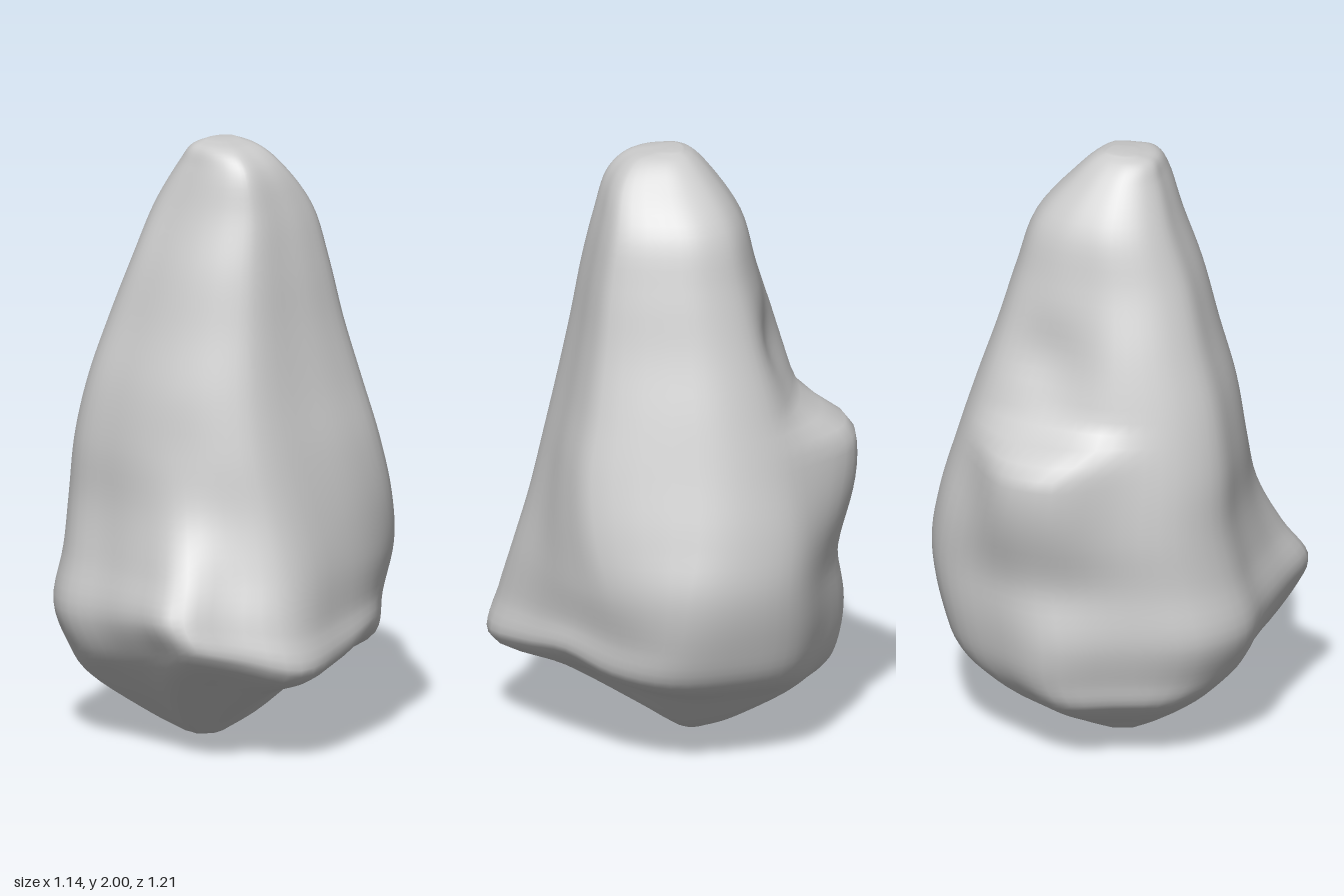
import * as THREE from 'three';

// Height and horizontal extents of the rock: [y, xMin, xMax, zMin, zMax]
const ROWS = [
  [0.00, -0.14, 0.00, -0.13, 0.00],
  [0.06, -0.24, 0.13, -0.25, 0.10],
  [0.20, -0.43, 0.32, -0.50, 0.37],
  [0.30, -0.52, 0.49, -0.55, 0.595],
  [0.44, -0.57, 0.545, -0.57, 0.565],
  [0.62, -0.53, 0.57, -0.545, 0.515],
  [0.80, -0.50, 0.53, -0.52, 0.46],
  [1.00, -0.49, 0.47, -0.465, 0.41],
  [1.20, -0.455, 0.41, -0.41, 0.365],
  [1.40, -0.39, 0.345, -0.355, 0.325],
  [1.60, -0.325, 0.29, -0.285, 0.29],
  [1.78, -0.25, 0.23, -0.235, 0.25],
  [1.92, -0.19, 0.115, -0.14, 0.205],
  [1.98, -0.16, 0.05, -0.08, 0.14],
  [2.00, -0.10, 0.00, -0.04, 0.04],
];

// Unit outlines, running from the front towards +x, the back and -x.
// The third number of the lower one raises the rim above the foot.
const LOWER = [
  [-0.22, 1, 0], [0.22, 0.82, 0.03], [0.62, 0.59, 0.07], [0.84, 0.33, 0.02],
  [1, 0, 0], [0.92, -0.4, 0], [0.74, -0.7, 0], [0.4, -0.87, 0],
  [0, -1, 0], [-0.4, -0.83, 0], [-0.83, -0.62, 0], [-1, -0.3, 0],
  [-0.96, 0.05, 0.02], [-0.95, 0.4, 0.06], [-0.92, 0.76, 0.09], [-0.6, 0.86, 0.05],
];
const UPPER = [
  [-0.3, 1], [0.15, 0.95], [0.53, 0.87], [0.82, 0.7], [1, -0.1], [0.94, -0.5],
  [0.75, -0.8], [0.38, -0.97], [0, -1], [-0.4, -0.95], [-0.8, -0.72], [-0.99, -0.4],
  [-0.97, -0.03], [-0.91, 0.3], [-0.79, 0.57], [-0.58, 0.83],
];

const AROUND = 64;
const UP = 70;

// One smooth closed cross-section fitted to its extents
function ring([y, x0, x1, z0, z1]) {
  const t = THREE.MathUtils.smoothstep(y, 0.4, 1.0);
  const rim = Math.exp(-(((y - 0.33) / 0.14) ** 2));
  const points = LOWER.map(([u, w, lift], i) => {
    const a = THREE.MathUtils.lerp(u, UPPER[i][0], t);
    const b = THREE.MathUtils.lerp(w, UPPER[i][1], t);
    return new THREE.Vector3(
      (x0 + x1 + a * (x1 - x0)) / 2, y + lift * rim, (z0 + z1 + b * (z1 - z0)) / 2);
  });
  const curve = new THREE.CatmullRomCurve3(points, true, 'centripetal');
  return Array.from({ length: AROUND }, (_, i) => curve.getPoint(i / AROUND));
}

// Back face: a ledge with a sharp top that fades out downwards, and a hollow above it
function shapeBack(p) {
  if (p.z > -0.1) return;
  const { smoothstep } = THREE.MathUtils;
  const height = smoothstep(p.y, 0.58, 1.05) * (1 - smoothstep(p.y, 1.05, 1.18));
  const hollow = Math.exp(-(((p.x - 0.08) / 0.15) ** 2) - ((p.y - 1.36) / 0.14) ** 2);
  p.z -= 0.15 * height * Math.exp(-(Math.abs((p.x - 0.04) / 0.22) ** 3));
  p.z += 0.05 * hollow;
}

function rockGeometry() {
  const rings = ROWS.map(ring);
  const positions = [];
  const index = [];
  const columns = Array.from({ length: AROUND }, (_, i) =>
    new THREE.CatmullRomCurve3(rings.map((r) => r[i]), false, 'centripetal'));
  for (let r = 0; r <= UP; r++) {
    for (const column of columns) {
      const p = column.getPoint(r / UP);
      shapeBack(p);
      positions.push(p.x, p.y, p.z);
    }
  }
  for (let r = 0; r < UP; r++) {
    for (let i = 0; i < AROUND; i++) {
      const a = r * AROUND + i;
      const b = r * AROUND + (i + 1) % AROUND;
      index.push(a, b, b + AROUND, a, b + AROUND, a + AROUND);
    }
  }
  // Close the foot and the tip
  const foot = positions.length / 3;
  positions.push(-0.07, 0, -0.065, -0.05, 2, 0);
  for (let i = 0; i < AROUND; i++) {
    const j = (i + 1) % AROUND;
    index.push(foot, j, i, foot + 1, UP * AROUND + i, UP * AROUND + j);
  }
  const geometry = new THREE.BufferGeometry();
  geometry.setAttribute('position', new THREE.Float32BufferAttribute(positions, 3));
  geometry.setIndex(index);
  geometry.computeVertexNormals();
  return geometry;
}

export function createModel() {
  const model = new THREE.Group();
  model.name = 'standingRock';
  const rock = new THREE.Mesh(rockGeometry(), new THREE.MeshStandardMaterial({ color: 0xcccccc }));
  rock.name = 'rock';
  model.add(rock);
  return model;
}
